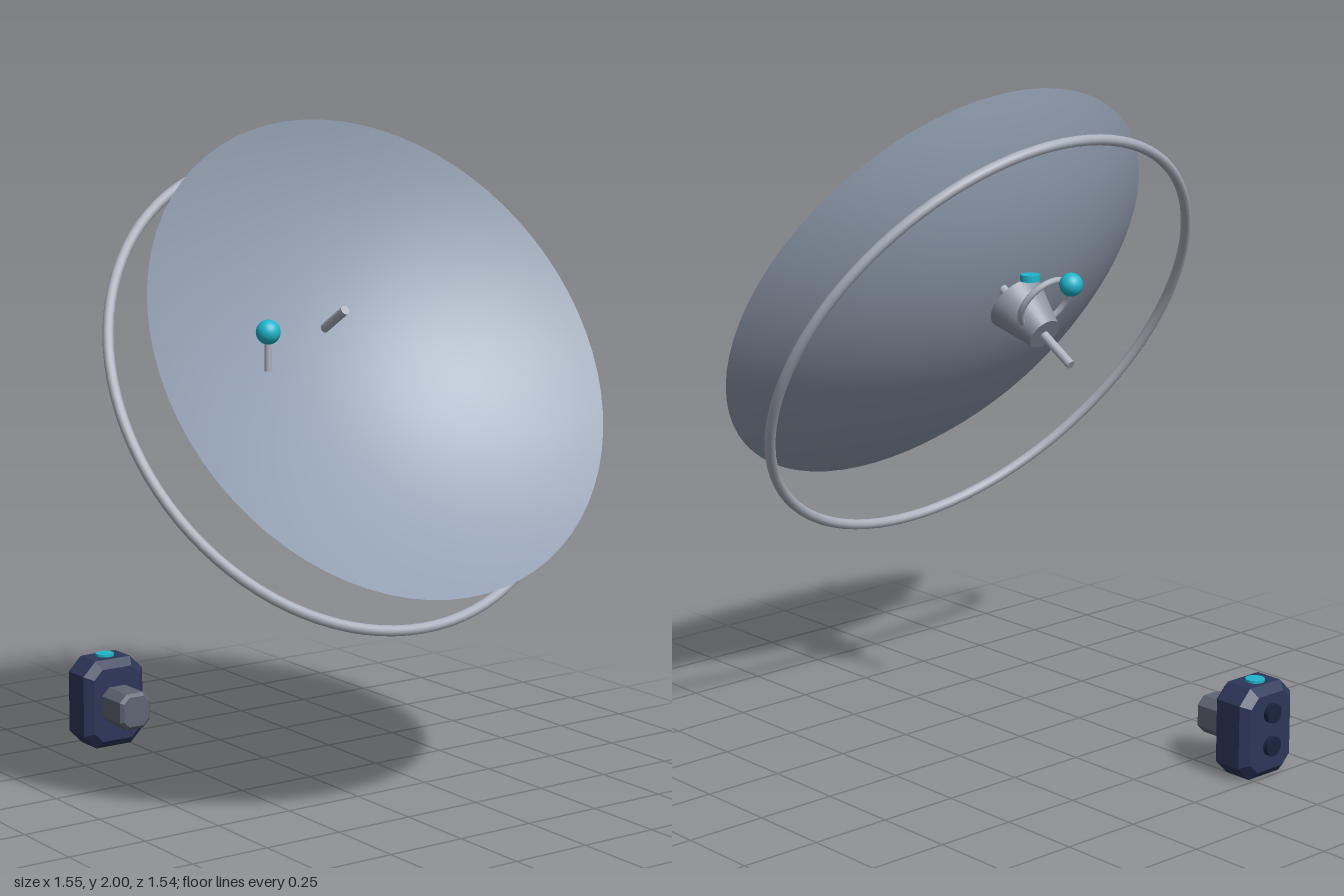
import * as THREE from 'three';

const paint = (color, extra = {}) => new THREE.MeshStandardMaterial({ color, ...extra });
const MAT = {
  dish: paint(0x93a0b2, { side: THREE.DoubleSide }),
  metal: paint(0xaab0bc),
  hub: paint(0x8d95a2),
  lamp: paint(0x1fb5cc),
  navy: paint(0x2c3658, { flatShading: true }),
  dark: paint(0x1a2440),
  grey: paint(0x5e6472, { flatShading: true }),
};

function add(parent, name, geometry, material, x = 0, y = 0, z = 0) {
  const mesh = new THREE.Mesh(geometry, material);
  mesh.name = name;
  mesh.position.set(x, y, z);
  parent.add(mesh);
  return mesh;
}

// Cylinder or frustum along z: front radius, back radius, length
const zCylinder = (front, back, length, sides = 32) =>
  new THREE.CylinderGeometry(front, back, length, sides).rotateX(Math.PI / 2);

// Block with cut corners and bevelled front and back, centred on its origin
function chamferBlock(w, h, d, cut, bevel) {
  const x = w / 2 - bevel, y = h / 2 - bevel, c = cut - bevel * 0.586;
  const shape = new THREE.Shape([
    [x - c, -y], [x, -y + c], [x, y - c], [x - c, y],
    [-x + c, y], [-x, y - c], [-x, -y + c], [-x + c, -y],
  ].map(([a, b]) => new THREE.Vector2(a, b)));
  return new THREE.ExtrudeGeometry(shape, {
    depth: d - 2 * bevel, bevelEnabled: true, bevelSize: bevel,
    bevelThickness: bevel, bevelSegments: 1,
  }).translate(0, 0, bevel - d / 2);
}

// Shallow parabolic bowl opening toward +z, rim at z = 0
function bowl(radius, depth) {
  const profile = [];
  for (let i = 0; i <= 24; i++) {
    const t = i / 24;
    profile.push(new THREE.Vector2(radius * t, depth * (t * t - 1)));
  }
  return new THREE.LatheGeometry(profile, 72).rotateX(Math.PI / 2);
}

export function createModel() {
  const model = new THREE.Group();
  model.name = 'dishAntenna';

  // Tilted assembly: local +z is the direction the dish looks
  const tilted = new THREE.Group();
  tilted.name = 'tiltedDish';
  tilted.position.set(0, 1.355, 0.37);
  tilted.rotation.x = -0.555;
  model.add(tilted);

  add(tilted, 'dishBowl', bowl(0.76, 0.245), MAT.dish);
  add(tilted, 'supportRing', new THREE.TorusGeometry(0.76, 0.016, 12, 96), MAT.metal, 0, 0, -0.246);
  add(tilted, 'feedRod', zCylinder(0.014, 0.014, 0.47, 16), MAT.metal, 0, 0.188, -0.343);
  add(tilted, 'hubCone', zCylinder(0.093, 0.052, 0.145), MAT.hub, 0, 0.191, -0.37);
  add(tilted, 'hubRing', new THREE.TorusGeometry(0.088, 0.01, 10, 40), MAT.metal, 0, 0.272, -0.395);

  // Beacon lamps
  const ball = new THREE.SphereGeometry(0.035, 24, 16);
  add(model, 'frontBeacon', ball, MAT.lamp, -0.415, 1.45, 0.388);
  add(model, 'beaconPost', new THREE.CylinderGeometry(0.011, 0.011, 0.1, 16), MAT.metal, -0.415, 1.39, 0.388);
  add(model, 'rearBeacon', ball, MAT.lamp, 0, 1.45, -0.22);
  add(model, 'hubLamp', new THREE.CylinderGeometry(0.03, 0.03, 0.02, 24), MAT.lamp, 0, 1.445, -0.044);

  // Separate control unit
  const unit = new THREE.Group();
  unit.name = 'controlUnit';
  unit.position.set(-0.311, 0.142, -0.686);
  model.add(unit);
  add(unit, 'unitBody', chamferBlock(0.217, 0.284, 0.14, 0.045, 0.025), MAT.navy);
  add(unit, 'unitSnout', chamferBlock(0.11, 0.115, 0.13, 0.025, 0.01), MAT.grey, 0, 0, 0.12);
  add(unit, 'unitLamp', new THREE.CylinderGeometry(0.029, 0.029, 0.02, 24), MAT.lamp, 0, 0.14, -0.004);
  for (const y of [0.06, -0.043]) {
    add(unit, 'rearKnob', zCylinder(0.03, 0.03, 0.03, 24), MAT.dark, 0, y, -0.071);
  }

  return model;
}
